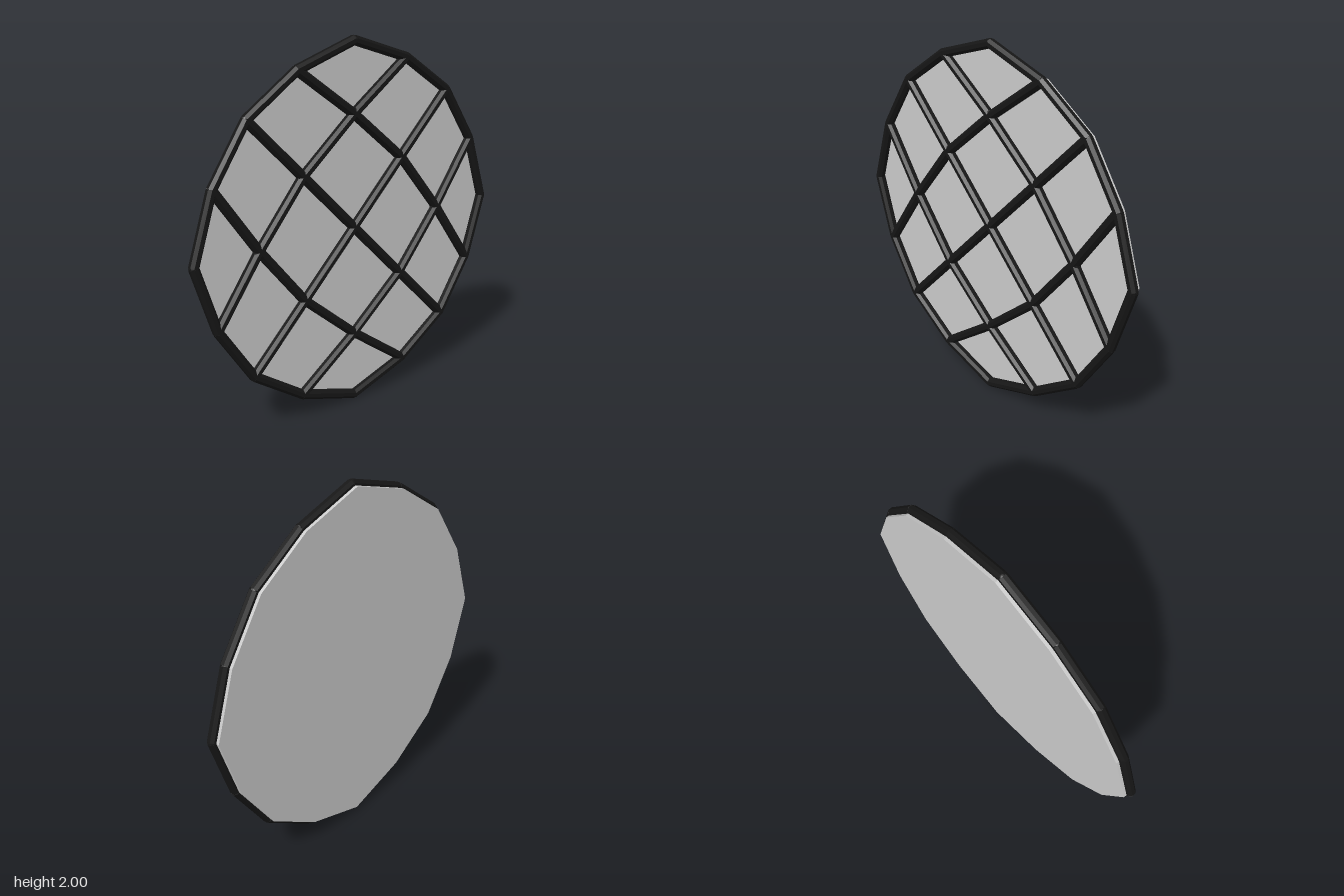
import * as THREE from 'three';

const BAR_R = 0.0245;   // radius of the bars
const BAR_X = 0.01;     // plane of the lattice
const CENTRE_Y = 1;

export function createModel() {
  const model = new THREE.Group();
  model.name = 'latticeDisc';
  const dark = new THREE.MeshStandardMaterial({ color: 0x161616, flatShading: true });
  const grey = new THREE.MeshStandardMaterial({ color: 0xcccccc, flatShading: true });

  // Node of a 4 x 4 grid, turned by 45 degrees and bulged out to a circle
  const node = (i, j) => {
    const a = Math.abs(i), b = Math.abs(j);
    const ring = Math.max(a, b), low = Math.min(a, b);
    let radius = [0, 0.467, 0.931][ring];
    if (ring === 1 && low === 1) radius = 0.605;
    if (ring === 2 && low === 2) radius = 0.975;
    const angle = Math.atan2(j, i) + Math.PI / 4;
    // on the rim, the nodes between corner and middle sit at 22.5 degrees
    const snapped = ring === 2 ? Math.round(angle / (Math.PI / 8)) * Math.PI / 8 : angle;
    return new THREE.Vector3(BAR_X, CENTRE_Y + radius * Math.sin(snapped), radius * Math.cos(snapped));
  };

  // Eight-sided bar between two nodes, flat side facing out
  const side = new THREE.Vector3(1, 0, 0);
  const addBar = (p, q, name) => {
    const geo = new THREE.CylinderGeometry(BAR_R / Math.cos(Math.PI / 8), BAR_R / Math.cos(Math.PI / 8), p.distanceTo(q), 8, 1);
    geo.rotateY(Math.PI / 8);
    const bar = new THREE.Mesh(geo, dark);
    const along = q.clone().sub(p).normalize();
    bar.quaternion.setFromRotationMatrix(
      new THREE.Matrix4().makeBasis(side, along, new THREE.Vector3().crossVectors(side, along)));
    bar.position.copy(p).lerp(q, 0.5);
    bar.name = name;
    model.add(bar);
  };

  const jointGeo = new THREE.SphereGeometry(BAR_R, 12, 8);
  for (let i = -2; i <= 2; i++) {
    for (let j = -2; j <= 2; j++) {
      const p = node(i, j);
      const onRim = Math.max(Math.abs(i), Math.abs(j)) === 2;
      if (i < 2) addBar(p, node(i + 1, j), Math.abs(j) === 2 ? 'rimBar' : 'latticeBar');
      if (j < 2) addBar(p, node(i, j + 1), Math.abs(i) === 2 ? 'rimBar' : 'latticeBar');
      // Rounded joint, slightly wider where bars cross
      const joint = new THREE.Mesh(jointGeo, dark);
      joint.position.copy(p);
      if (!onRim) joint.scale.set(1, 1.5, 1.5);
      joint.name = onRim ? 'rimJoint' : 'latticeJoint';
      model.add(joint);
    }
  }

  // Thin backing plate that follows the rim
  const outline = [];
  for (let k = -2; k < 2; k++) outline.push(node(2, k));
  for (let k = 2; k > -2; k--) outline.push(node(k, 2));
  for (let k = 2; k > -2; k--) outline.push(node(-2, k));
  for (let k = -2; k < 2; k++) outline.push(node(k, -2));
  const shape = new THREE.Shape(outline.map((p) => new THREE.Vector2(-p.z, p.y)));
  const plateGeo = new THREE.ExtrudeGeometry(shape, { depth: 0.017, bevelEnabled: false });
  plateGeo.rotateY(Math.PI / 2);
  const plate = new THREE.Mesh(plateGeo, grey);
  plate.position.x = -0.035;
  plate.name = 'backPlate';
  model.add(plate);

  return model;
}
